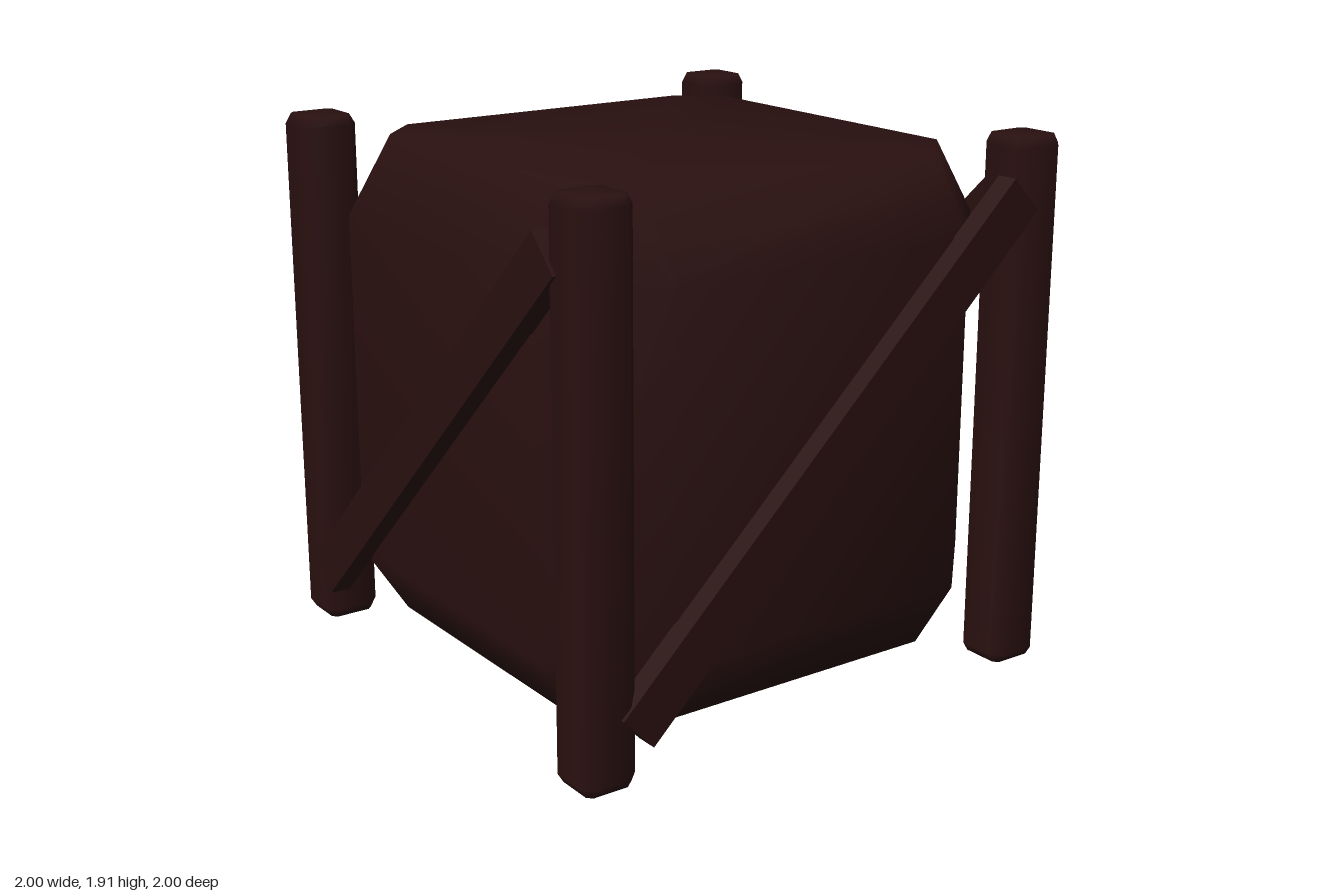
import * as THREE from 'three';

// Upright block with chamfered edges: r = half width, cut = vertical edge chamfer,
// inset / drop = horizontal and vertical size of the top and bottom bevel.
function chamferedBlock(r, y0, y1, cut, inset, drop) {
  const pos = [], index = [];
  const q = r - cut;
  const rings = [[y0, r - inset], [y0 + drop, r], [y1 - drop, r], [y1, r - inset]];
  for (const [y, p] of rings) {
    const ring = [[q, p], [p, q], [p, -q], [q, -p], [-q, -p], [-p, -q], [-p, q], [-q, p]];
    for (const [x, z] of ring) pos.push(x, y, z);
  }
  pos.push(0, y0, 0, 0, y1, 0);
  for (let i = 0; i < 8; i++) {
    const j = (i + 1) % 8;
    for (let k = 0; k < 24; k += 8) {
      index.push(k + i, k + j, k + 8 + j, k + i, k + 8 + j, k + 8 + i);
    }
    index.push(32, j, i, 33, 24 + i, 24 + j);
  }
  const geo = new THREE.BufferGeometry();
  geo.setAttribute('position', new THREE.Float32BufferAttribute(pos, 3));
  geo.setIndex(index);
  geo.computeVertexNormals();
  return geo;
}

export function createModel() {
  const model = new THREE.Group();
  model.name = 'crate';
  const wood = new THREE.MeshStandardMaterial({ color: 0x2a1010 });
  wood.name = 'dark wood';

  const add = (name, geo, parent = model) => {
    const mesh = new THREE.Mesh(geo, wood);
    mesh.name = name;
    parent.add(mesh);
    return mesh;
  };

  // Main body
  add('body', chamferedBlock(0.925, 0.06, 1.865, 0.325, 0.175, 0.27));

  // Corner posts
  const postGeo = chamferedBlock(0.105, 0, 1.915, 0.04, 0.022, 0.035);
  for (const x of [-0.882, 0.882]) {
    for (const z of [-0.882, 0.882]) add('cornerPost', postGeo).position.set(x, 0, z);
  }

  // Diagonal braces: opposite sides run parallel to each other
  const braceGeo = new THREE.BoxGeometry(2.217, 0.166, 0.08);
  for (const [name, turn] of [['frontBackBraces', 0], ['sideBraces', Math.PI / 2]]) {
    const pair = new THREE.Group();
    pair.name = name;
    pair.rotation.y = turn;
    for (const z of [-0.96, 0.96]) {
      const brace = add('diagonalBrace', braceGeo, pair);
      brace.position.set(0, 0.96, z);
      brace.rotation.z = Math.atan2(1.54, 1.595);
    }
    model.add(pair);
  }
  return model;
}
